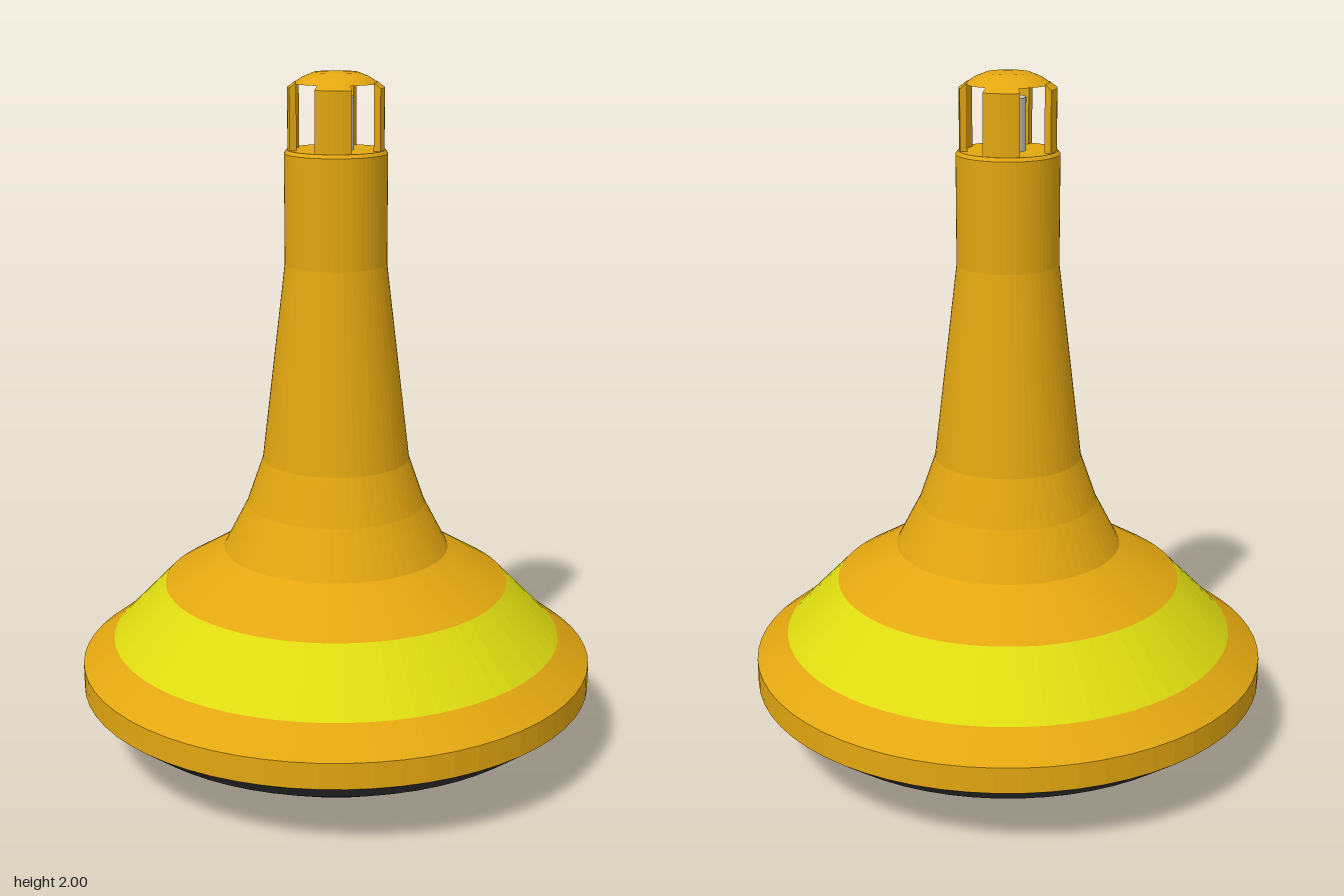
import * as THREE from 'three';

const SEGMENTS = 64;
const mat = (color) => new THREE.MeshStandardMaterial({ color, flatShading: true });
const orange = mat(0xe2a610);
const yellow = mat(0xdedb10);
const dark = mat(0x333333);
const lining = mat(0x555555);
const grey = mat(0xcccccc);

// Revolved band; profile is [radius, height] pairs, running upwards on the outside
function revolve(name, profile, material, segments = SEGMENTS, start = 0, length = Math.PI * 2) {
  const points = profile.map(([r, y]) => new THREE.Vector2(r, y));
  const mesh = new THREE.Mesh(new THREE.LatheGeometry(points, segments, start, length), material);
  mesh.name = name;
  return mesh;
}

// One curved cage post: a solid ring sector with a sloping top, closed at both sides
function cagePost(angle, halfAngle) {
  const section = [[0.115, 1.77], [0.135, 1.77], [0.135, 1.955], [0.115, 1.97], [0.115, 1.77]];
  const post = new THREE.Group();
  post.name = 'cagePost';
  post.add(revolve('postWall', section, orange, 8, angle - halfAngle, halfAngle * 2));
  const side = new THREE.ShapeGeometry(
    new THREE.Shape(section.slice(0, 4).map(([r, y]) => new THREE.Vector2(r, y))));
  const sideMaterial = orange.clone();
  sideMaterial.side = THREE.DoubleSide;
  for (const s of [-1, 1]) {
    const face = new THREE.Mesh(side, sideMaterial);
    face.name = 'postSide';
    face.rotation.y = angle + s * halfAngle - Math.PI / 2;
    post.add(face);
  }
  return post;
}

export function createModel() {
  const model = new THREE.Group();
  model.name = 'buoy';

  // Hull, from the flat keel up to the neck
  model.add(
    revolve('keel', [[0, 0], [0.39, 0], [0.66, 0.145], [0.752, 0.215]], dark),
    revolve('rim', [[0.752, 0.215], [0.752, 0.29], [0.66, 0.36]], orange),
    revolve('stripe', [[0.66, 0.36], [0.505, 0.52]], yellow),
    revolve('shoulder', [[0.505, 0.52], [0.33, 0.625]], orange),
  );

  // Flared neck, tapered tower and straight collar with a closed top
  model.add(revolve('tower', [
    [0.33, 0.625], [0.26, 0.76], [0.213, 0.895], [0.145, 1.465],
    [0.145, 1.775], [0.138, 1.785], [0, 1.785],
  ], orange));

  // Lantern: four posts on the diagonals, lamp and domed cap
  const lantern = new THREE.Group();
  lantern.name = 'lantern';
  for (let i = 0; i < 4; i++) {
    lantern.add(cagePost(Math.PI / 4 + i * Math.PI / 2, 0.385));
  }
  lantern.add(
    revolve('lamp', [[0.05, 1.785], [0.05, 1.93], [0, 1.93]], grey, 32),
    revolve('cap', [[0.118, 1.966], [0.095, 1.982], [0.062, 1.996], [0, 2]], orange),
    revolve('capLining', [[0, 1.985], [0.06, 1.982], [0.118, 1.966]], lining),
  );
  model.add(lantern);
  return model;
}
